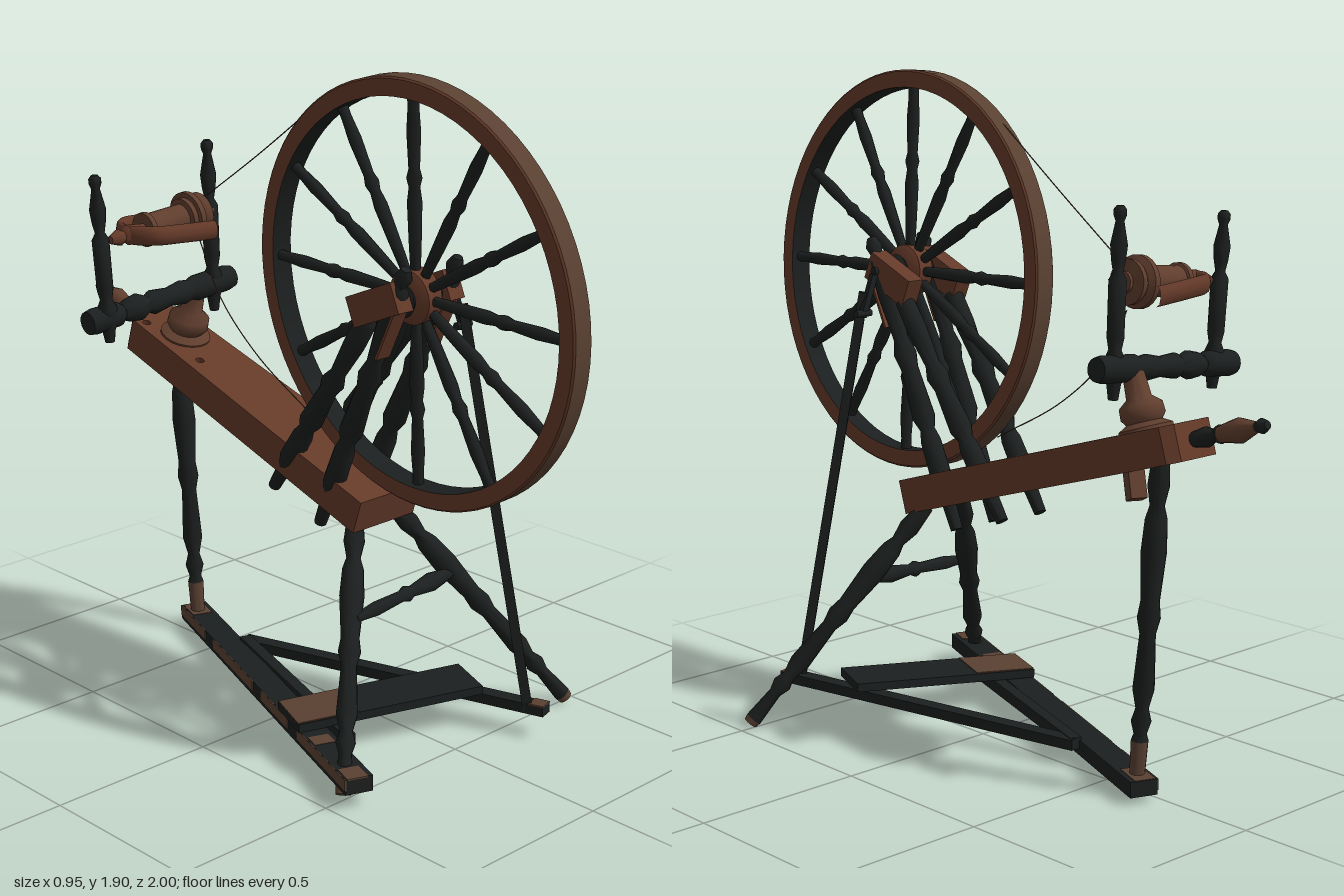
import * as THREE from 'three';
import { toCreasedNormals } from 'three/addons/utils/BufferGeometryUtils.js';

const V = (x, y, z) => new THREE.Vector3(x, y, z);
const Y = V(0, 1, 0);

export function createModel() {
  const model = new THREE.Group();
  const material = (name, color) => {
    const m = new THREE.MeshStandardMaterial({ color });
    m.name = name;
    return m;
  };
  const red = material('reddish wood', 0x653a29);
  const brown = material('brown wood', 0x603e2e);
  const worn = material('worn wood', 0x5a4132);
  const dark = material('dark wood', 0x1c1f1f);

  const add = (name, geometry, mat, parent = model) => {
    const mesh = new THREE.Mesh(geometry, mat);
    mesh.name = name;
    parent.add(mesh);
    return mesh;
  };

  // Lathe-turned part from a to b; profile is [fraction along, radius]
  function turned(name, a, b, profile, mat, parent = model, sides = 12) {
    const d = b.clone().sub(a), len = d.length();
    const pts = profile.map(([t, r]) => new THREE.Vector2(r, t * len));
    pts.unshift(new THREE.Vector2(0, profile[0][0] * len));
    pts.push(new THREE.Vector2(0, profile[profile.length - 1][0] * len));
    const geo = toCreasedNormals(new THREE.LatheGeometry(pts, sides), 0.9);
    const mesh = add(name, geo, mat, parent);
    mesh.position.copy(a);
    mesh.quaternion.setFromUnitVectors(Y, d.normalize());
    return mesh;
  }

  // Rectangular bar from a to b
  function bar(name, a, b, w, h, mat) {
    const mesh = add(name, new THREE.BoxGeometry(w, h, a.distanceTo(b)), mat);
    mesh.position.copy(a).lerp(b, 0.5);
    mesh.lookAt(b);
    return mesh;
  }
  const rod = (r) => [[0, r], [1, r]];

  // Sloping bench with clipped corners and peg holes
  const slope = 0.302, c = Math.cos(slope), s = Math.sin(slope);
  const outline = new THREE.Shape([
    [-0.167, 0], [0.067, 0], [0.047, 1.05], [0.02, 1.08], [-0.115, 1.08], [-0.142, 1.05],
  ].map(([x, y]) => new THREE.Vector2(x, y)));
  for (const [x, y] of [[-0.112, 1.02], [-0.1, 0.78]]) {
    outline.holes.push(new THREE.Path().absarc(x, y, 0.013, 0, Math.PI * 2, true));
  }
  const bench = add('bench', new THREE.ExtrudeGeometry(outline,
    { depth: 0.1, bevelEnabled: false, curveSegments: 8 }), red);
  bench.quaternion.setFromRotationMatrix(
    new THREE.Matrix4().makeBasis(V(1, 0, 0), V(0, s, -c), V(0, c, s)));
  bench.position.set(0, 0.613, 0.26);

  // Handle at the high end
  const h0 = V(-0.045, 0.98, -0.75), h1 = V(-0.045, 1.058, -1);
  turned('handleNeck', h0, h1, [[0, 0.02], [0.2, 0.028], [0.3, 0.017], [0.38, 0.026]], dark);
  turned('handleGrip', h0, h1, [[0.38, 0.022], [0.5, 0.028], [0.65, 0.034], [0.86, 0.015]], brown);
  turned('handleTip', h0, h1, [[0.86, 0.013], [0.93, 0.021], [1, 0.012]], dark);

  // Turned legs; each foot is worn from the given fraction down
  const legProfile = [[0, 0.022], [0.1, 0.03], [0.16, 0.02], [0.2, 0.03], [0.3, 0.035],
    [0.45, 0.026], [0.5, 0.032], [0.55, 0.022], [0.72, 0.03], [0.78, 0.018], [0.82, 0.028],
    [0.86, 0.018]];
  const legs = [
    ['frontLegLeft', V(0.03, 0.64, 0.21), V(0.46, 0.002, 0.51), 0.98],
    ['frontLegRight', V(-0.11, 0.64, 0.21), V(-0.435, 0.005, 0.5), 0.94],
    ['backLeg', V(0.02, 0.95, -0.7), V(0.03, 0.04, -0.64), 0.88],
  ];
  for (const [name, a, b, t] of legs) {
    turned(name, a, b, [...legProfile, [t, 0.024]], dark);
    turned(name + 'Foot', a, b, [[t, 0.024], [1, 0.021]], worn);
  }
  turned('legStretcher', V(-0.235, 0.405, 0.34), V(0.18, 0.425, 0.32),
    [[0, 0.012], [0.2, 0.02], [0.45, 0.016], [0.5, 0.024], [0.55, 0.016], [0.75, 0.027], [1, 0.012]], dark);

  // Ground bar, worn in patches along its outer side and at the ends of its top
  const g0 = V(-0.435, 0.055, 0.56), g1 = V(0.055, 0.03, -0.69);
  const along = (t, x = 0, y = 0, z = 0) => g0.clone().lerp(g1, t).add(V(x, y, z));
  bar('groundBar', along(0), along(1), 0.08, 0.045, dark);
  for (const [t0, t1] of [[0, 0.26], [0.31, 0.47], [0.52, 0.78], [0.83, 1]]) {
    bar('wornSide', along(t0, -0.037, 0.006, -0.0145), along(t1, -0.037, 0.006, -0.0145), 0.006, 0.032, worn);
  }
  for (const [t0, t1] of [[0, 0.05], [0.17, 0.21], [0.93, 1]]) {
    bar('wornTop', along(t0, -0.005, 0.022), along(t1, -0.005, 0.022), 0.06, 0.004, worn);
  }

  // Treadle
  bar('treadlePivot', V(-0.275, 0.06, 0.36), V(-0.02, 0.05, -0.36), 0.035, 0.035, dark);
  bar('treadleArm', V(-0.02, 0.05, -0.36), V(0.241, 0.0736, 0.624), 0.045, 0.03, dark);
  bar('treadleArmWorn', V(0.229, 0.088, 0.58), V(0.241, 0.089, 0.624), 0.045, 0.004, worn);
  bar('treadlePlate', V(-0.33, 0.083, 0.17), V(0.19, 0.104, 0.38), 0.165, 0.025, dark);
  bar('treadlePlateWorn', V(-0.33, 0.096, 0.17), V(-0.16, 0.103, 0.239), 0.155, 0.005, worn);
  bar('footman', V(0.22, 0.06, 0.575), V(0.075, 1.25, 0.43), 0.022, 0.028, dark);

  // Wheel, slightly leaning
  const wheel = new THREE.Group();
  wheel.name = 'wheel';
  wheel.position.set(-0.09, 1.302, 0.414);
  wheel.quaternion.setFromUnitVectors(Y, V(1, 0.058, 0.025).normalize());
  model.add(wheel);
  const ring = (pts) => toCreasedNormals(new THREE.LatheGeometry(
    pts.map(([r, y]) => new THREE.Vector2(r, y)), 72), 0.6);
  add('rimFaceRight', ring([[0.534, -0.033], [0.58, -0.033], [0.585, -0.028]]), red, wheel);
  add('rimTread', ring([[0.585, -0.028], [0.585, 0.028]]), worn, wheel);
  add('rimFaceLeft', ring([[0.585, 0.028], [0.58, 0.033], [0.534, 0.033]]), red, wheel);
  add('rimInside', ring([[0.534, 0.033], [0.534, -0.033]]), dark, wheel);
  for (let i = 0; i < 12; i++) {
    const a = i * Math.PI / 6, dir = V(Math.cos(a), 0, Math.sin(a));
    turned('spoke', dir.clone().multiplyScalar(0.05), dir.clone().multiplyScalar(0.54),
      [[0, 0.013], [0.2, 0.017], [0.42, 0.02], [0.5, 0.015], [0.55, 0.021], [0.6, 0.015],
        [0.8, 0.019], [0.93, 0.015], [1, 0.016]], dark, wheel, 8);
  }
  turned('hub', V(0, -0.04, 0), V(0, 0.04, 0), [[0, 0.05], [0.2, 0.075], [0.8, 0.075], [1, 0.05]],
    red, wheel, 20);
  turned('hubEnds', V(0, -0.065, 0), V(0, 0.065, 0), [[0, 0.035], [0.1, 0.048], [0.18, 0.04],
    [0.82, 0.04], [0.9, 0.048], [1, 0.035]], dark, wheel, 16);
  turned('axle', V(0, -0.12, 0), V(0, 0.14, 0), rod(0.012), dark, wheel);
  bar('crank', V(0.045, 1.3, 0.42), V(0.09, 1.18, 0.42), 0.016, 0.02, dark);
  turned('crankPin', V(0.06, 1.19, 0.42), V(0.115, 1.19, 0.42), rod(0.011), dark);

  // Wheel posts, braces and bearing blocks on both sides
  const postProfile = [[0, 0.018], [0.12, 0.022], [0.17, 0.032], [0.3, 0.03], [0.34, 0.022],
    [0.38, 0.034], [0.55, 0.026], [0.6, 0.034], [0.65, 0.022], [0.8, 0.03], [0.92, 0.028],
    [0.94, 0.016], [0.97, 0.025], [1, 0.014]];
  for (const [side, top, low] of [['Left', 0.01, 0.02], ['Right', -0.185, -0.13]]) {
    turned('wheelPost' + side, V(low, 0.59, 0.09), V(top, 1.4, 0.47), postProfile, dark);
    turned('wheelBrace' + side, V(low, 0.65, -0.1), V(top, 1.28, 0.36), postProfile, dark);
    bar('bearingBlock' + side, V(top, 1.255, 0.29), V(top, 1.325, 0.455), 0.055, 0.085, red);
    bar('wornPostFront' + side, V(top, 1.145, 0.384), V(top, 1.3, 0.457), 0.05, 0.008, red);
  }

  // Turned collar and peg that carry the cross bar
  turned('collar', V(-0.045, 0.94, -0.6), V(-0.045, 1.13, -0.535), [[0, 0.075], [0.25, 0.075],
    [0.32, 0.05], [0.4, 0.062], [0.55, 0.06], [0.65, 0.035], [1, 0.03]], brown, model, 20);
  bar('collarPeg', V(0, 0.96, -0.57), V(0.03, 0.81, -0.625), 0.045, 0.05, brown);
  turned('crossBar', V(-0.45, 1.105, -0.53), V(0.085, 1.15, -0.525), [[0, 0.034], [0.04, 0.038],
    [0.2, 0.036], [0.23, 0.024], [0.27, 0.034], [0.34, 0.04], [0.4, 0.025], [0.44, 0.036],
    [0.55, 0.028], [0.65, 0.036], [0.7, 0.03], [0.74, 0.038], [0.96, 0.038], [1, 0.033]], dark, model, 16);

  // Flyer posts
  const maiden = [[0, 0.014], [0.08, 0.02], [0.12, 0.026], [0.2, 0.03], [0.26, 0.018],
    [0.32, 0.024], [0.62, 0.025], [0.66, 0.014], [0.72, 0.02], [0.8, 0.024], [0.92, 0.012],
    [0.95, 0.018], [0.98, 0.018], [1, 0.01]];
  turned('flyerPostRight', V(-0.38, 1.04, -0.52), V(-0.418, 1.53, -0.52), maiden, dark);
  turned('flyerPostLeft', V(0.015, 1.06, -0.52), V(-0.005, 1.575, -0.52), maiden, dark);

  // Flyer: spindle, bobbin, whorls and a U-shaped fork
  const flyer = new THREE.Group();
  flyer.name = 'flyer';
  flyer.position.set(-0.2, 1.355, -0.505);
  flyer.rotation.z = 0.08;
  model.add(flyer);
  turned('spindle', V(-0.18, 0, 0), V(0.2, 0, 0), [[0, 0.012], [0.08, 0.024], [0.12, 0.016],
    [0.16, 0.03], [0.3, 0.02], [1, 0.01]], red, flyer);
  turned('bobbin', V(-0.06, 0, 0), V(0.1, 0, 0), [[0, 0.05], [0.1, 0.05], [0.12, 0.043],
    [0.88, 0.043], [0.9, 0.058], [1, 0.058]], brown, flyer, 20);
  turned('whorl', V(0.1, 0, 0), V(0.17, 0, 0), [[0, 0.073], [0.25, 0.073], [0.4, 0.055],
    [0.55, 0.062], [0.75, 0.062], [0.85, 0.03], [1, 0.03]], brown, flyer, 24);
  const fork = new THREE.CatmullRomCurve3([V(0.13, -0.015, -0.09), V(0, -0.005, -0.09),
    V(-0.08, 0, -0.075), V(-0.115, 0, 0), V(-0.08, 0, 0.075), V(0, -0.005, 0.09), V(0.13, -0.015, 0.09)]);
  add('fork', new THREE.TubeGeometry(fork, 32, 0.014, 8), red, flyer).scale.y = 2;

  // Drive cord
  const cords = [
    [V(-0.115, 1.75, 0.04), V(-0.09, 1.59, -0.2), V(-0.055, 1.43, -0.46)],
    [V(-0.075, 0.86, 0.02), V(-0.07, 1.0, -0.24), V(-0.06, 1.14, -0.41), V(-0.055, 1.29, -0.5)],
  ];
  for (const pts of cords) {
    add('driveCord', new THREE.TubeGeometry(new THREE.CatmullRomCurve3(pts), 20, 0.0018, 5), worn);
  }
  return model;
}
